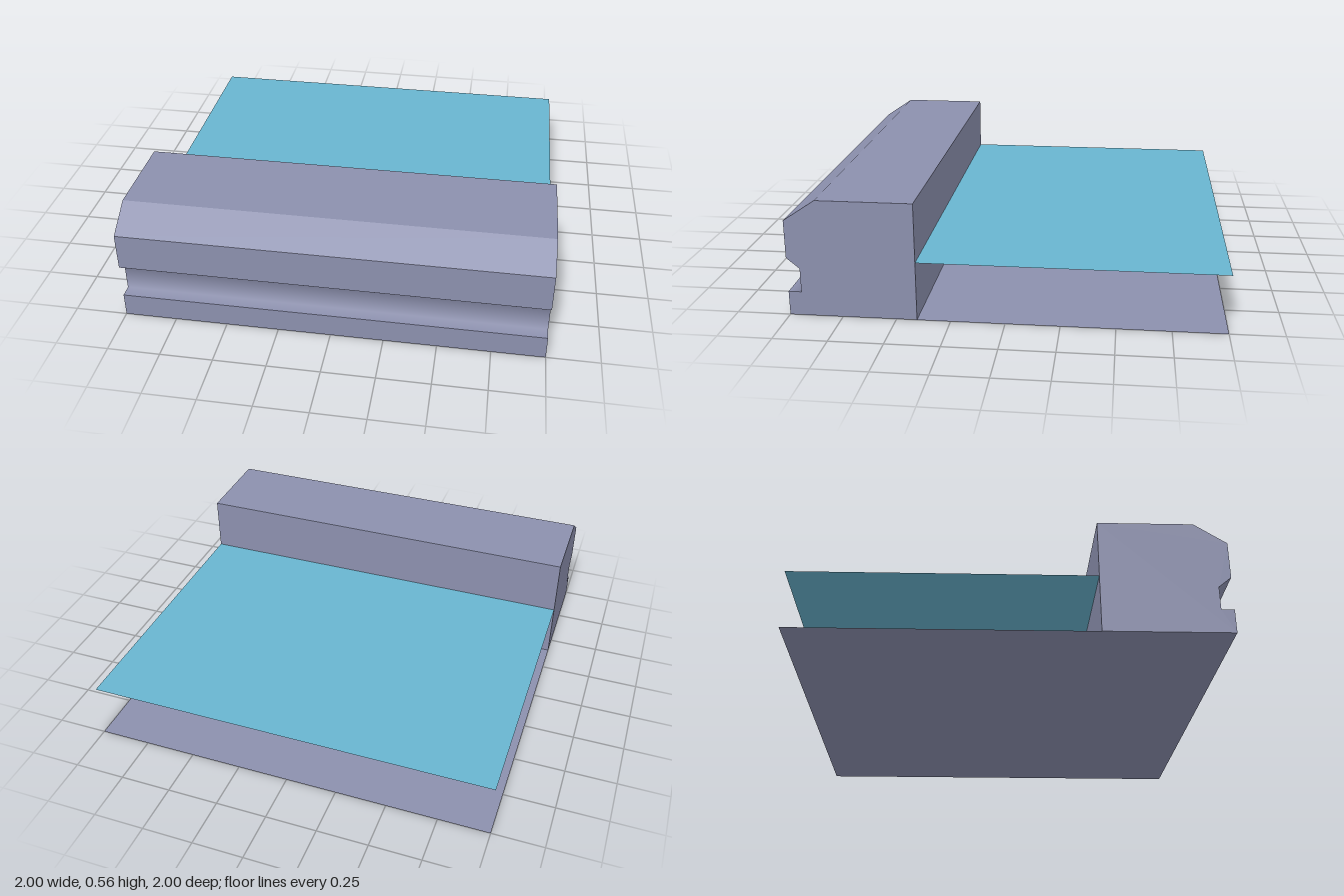
import * as THREE from 'three';

const stone = new THREE.MeshStandardMaterial({ color: 0x8c90ae, side: THREE.DoubleSide });
stone.name = 'greyStone';
const water = new THREE.MeshStandardMaterial({ color: 0x69b5d0, side: THREE.DoubleSide });
water.name = 'blueWater';

const BACK = 0.405; // rear face of the wall

// Wall cross-section as [z, y]: chamfered crest and a groove along the front
const profile = [
  [BACK, 0], [1, 0], [1, 0.115], [0.94, 0.115], [0.94, 0.23],
  [1, 0.28], [1, 0.46], [0.85, 0.56], [BACK, 0.56],
];

function makeWall() {
  const shape = new THREE.Shape(profile.map(([z, y]) => new THREE.Vector2(-z, y)));
  const geo = new THREE.ExtrudeGeometry(shape, { depth: 2, bevelEnabled: false });
  geo.translate(0, 0, -1).rotateY(Math.PI / 2);

  // Blend the shading at the two inner corners of the groove
  const pos = geo.attributes.position, nor = geo.attributes.normal;
  const n = new THREE.Vector3();
  for (let i = 0; i < pos.count; i++) {
    const inGroove = Math.abs(pos.getZ(i) - 0.94) < 0.001;
    if (!inGroove || Math.abs(nor.getX(i)) > 0.5) continue;
    n.set(0, pos.getY(i) > 0.2 ? -0.06 : 0.06, pos.getY(i) > 0.2 ? 0.165 : 0.115).normalize();
    nor.setXYZ(i, n.x, n.y, n.z);
  }
  return new THREE.Mesh(geo, stone);
}

// Flat horizontal sheet reaching from the wall to the back edge
function makeSheet(y, material) {
  const geo = new THREE.PlaneGeometry(2, BACK + 1).rotateX(-Math.PI / 2);
  geo.translate(0, y, (BACK - 1) / 2);
  return new THREE.Mesh(geo, material);
}

export function createModel() {
  const model = new THREE.Group();
  model.name = 'poolEdge';
  const parts = {
    wall: makeWall(),
    poolFloor: makeSheet(0, stone),
    waterSurface: makeSheet(0.28, water),
  };
  for (const [name, mesh] of Object.entries(parts)) {
    mesh.name = name;
    model.add(mesh);
  }
  return model;
}
